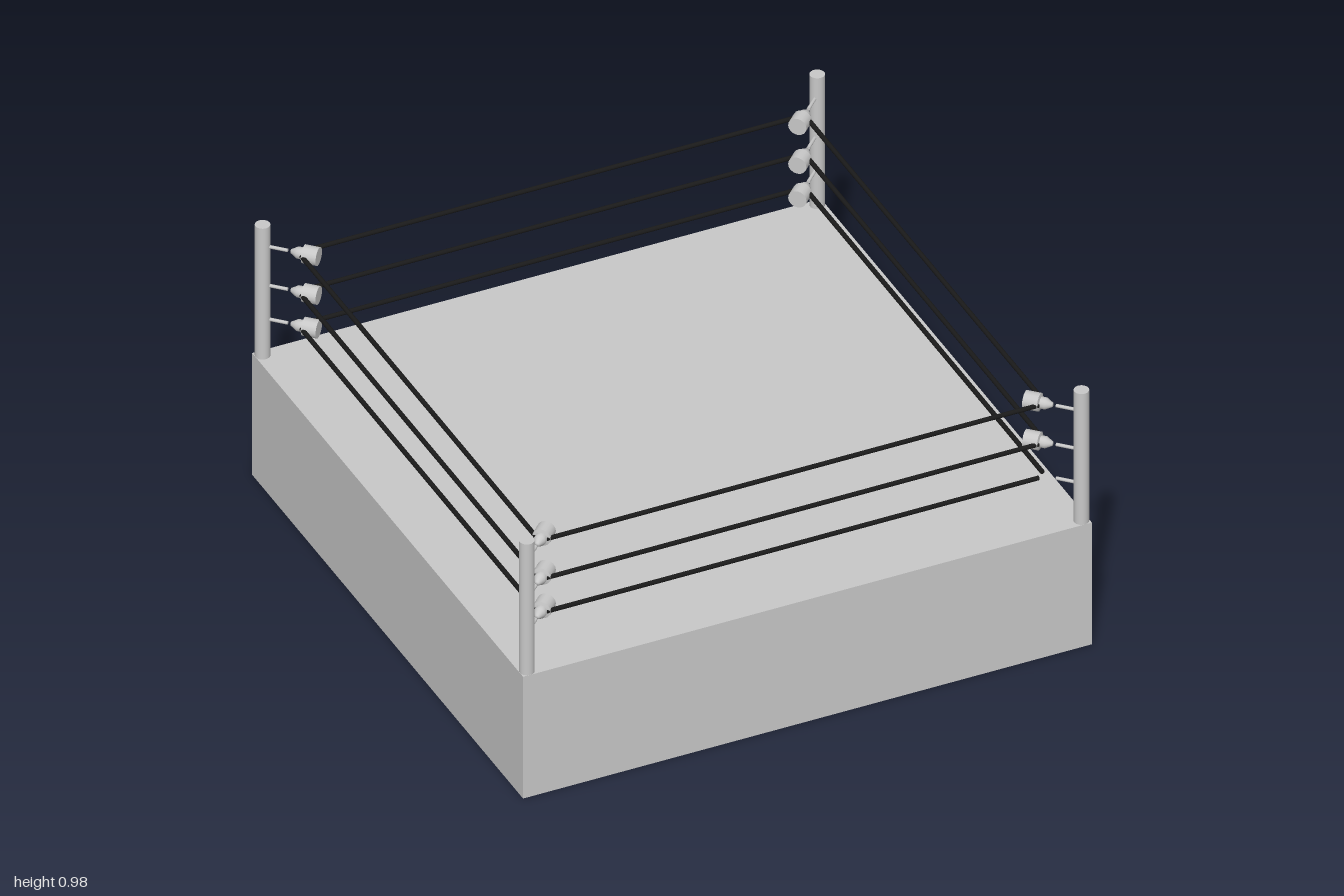
import * as THREE from 'three';

const DECK = 0.47;                    // platform height
const LEVELS = [0.614, 0.744, 0.894]; // rope heights
const POST = 0.975;                   // post centre on x and z
const ROPE = 0.89;                    // rope line on x and z

export function createModel() {
  const ring = new THREE.Group();
  ring.name = 'boxingRing';
  const grey = new THREE.MeshStandardMaterial({ color: 0xc8c8c8 });
  grey.name = 'light grey';
  const greySheet = new THREE.MeshStandardMaterial({ color: 0xc8c8c8, side: THREE.DoubleSide });
  greySheet.name = 'light grey sheet';
  const black = new THREE.MeshStandardMaterial({ color: 0x1a1a1a });
  black.name = 'rope black';

  const add = (name, geometry, material, parent = ring) => {
    const mesh = new THREE.Mesh(geometry, material);
    mesh.name = name;
    parent.add(mesh);
    return mesh;
  };

  // Hollow platform: deck and four thin skirts, open underneath
  const deck = add('deck', new THREE.PlaneGeometry(2, 2), greySheet);
  deck.rotation.x = -Math.PI / 2;
  deck.position.y = DECK;
  const skirtGeo = new THREE.PlaneGeometry(2, DECK).translate(0, DECK / 2, 1);
  for (let i = 0; i < 4; i++) {
    add('skirt', skirtGeo, greySheet).rotation.y = i * Math.PI / 2;
  }

  // Turnbuckle pad: turned profile lying along +z, which points to the post
  const profile = [
    [0, -0.025], [0.031, -0.025], [0.031, -0.025], [0.031, 0.025], [0.031, 0.025],
    [0.02, 0.028], [0.02, 0.028], [0.02, 0.045], [0.007, 0.068], [0, 0.068],
  ].map(([r, h]) => new THREE.Vector2(r, h));
  const padGeo = new THREE.LatheGeometry(profile, 16).rotateX(Math.PI / 2);
  const postGeo = new THREE.CylinderGeometry(0.025, 0.025, 0.505, 20);
  const padAt = 0.859 * Math.SQRT2;
  const rodFrom = 0.915 * Math.SQRT2;
  const rodTo = POST * Math.SQRT2;
  const rodGeo = new THREE.CylinderGeometry(0.006, 0.006, rodTo - rodFrom, 8).rotateX(Math.PI / 2);

  // Four corners, each built along +z and turned onto its diagonal
  for (let i = 0; i < 4; i++) {
    const corner = new THREE.Group();
    corner.name = 'corner';
    corner.rotation.y = Math.PI / 4 + i * Math.PI / 2;
    ring.add(corner);
    add('post', postGeo, grey, corner).position.set(0, DECK + 0.2525, rodTo);
    LEVELS.forEach((y, level) => {
      add('rod', rodGeo, grey, corner).position.set(0, y, (rodFrom + rodTo) / 2);
      // the lowest pad of the first corner is absent
      if (i === 0 && level === 0) return;
      add('turnbucklePad', padGeo, grey, corner).position.set(0, y, padAt);
    });
  }

  // Three ropes on each side
  const ropeGeo = new THREE.CylinderGeometry(0.008, 0.008, 1.73, 10).rotateZ(Math.PI / 2);
  for (let i = 0; i < 4; i++) {
    const side = new THREE.Group();
    side.name = 'ropes';
    side.rotation.y = i * Math.PI / 2;
    ring.add(side);
    for (const y of LEVELS) add('rope', ropeGeo, black, side).position.set(0, y, ROPE);
  }

  return ring;
}
